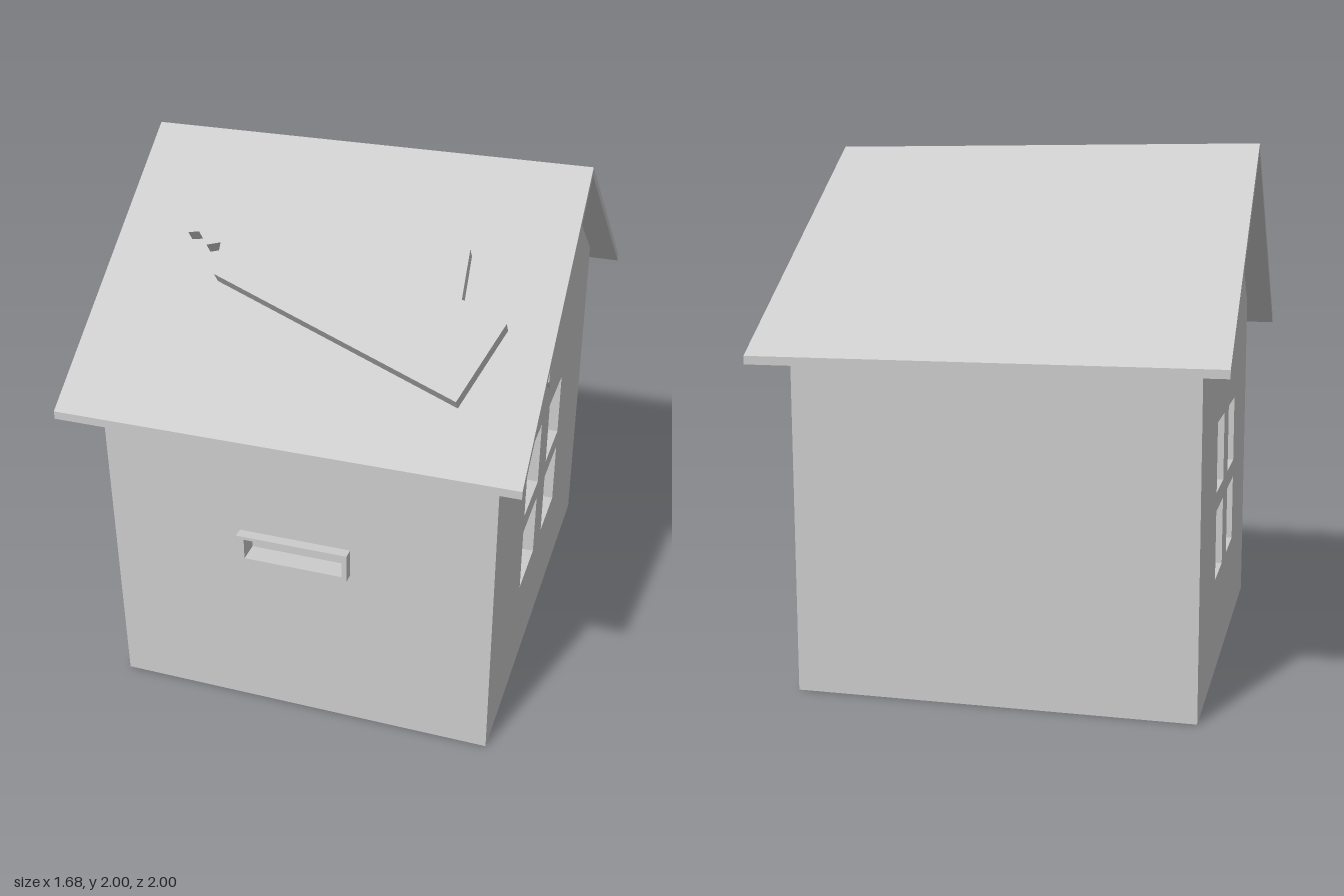
import * as THREE from 'three';

const mat = new THREE.MeshStandardMaterial({ color: 0xcccccc, flatShading: true, side: THREE.DoubleSide });

const shapeOf = (pts) => new THREE.Shape(pts.map(([a, b]) => new THREE.Vector2(a, b)));
const rect = (x0, y0, x1, y1) => [[x0, y0], [x1, y0], [x1, y1], [x0, y1]];

function withHoles(pts, holes) {
  const shape = shapeOf(pts);
  holes.forEach((h) => shape.holes.push(shapeOf(h)));
  return shape;
}

const extrude = (shape, depth) => new THREE.ExtrudeGeometry(shape, { depth, bevelEnabled: false });

// turns a (z, y) profile so that its depth runs along -x from the given x
const sideways = (geo, x) => geo.rotateY(-Math.PI / 2).translate(x, 0, 0);

function add(parent, name, geo) {
  const mesh = new THREE.Mesh(geo, mat);
  mesh.name = name;
  parent.add(mesh);
  return mesh;
}

export function createModel() {
  const house = new THREE.Group();
  house.name = 'house';
  const W = 0.735, D = 0.845, EAVE = 1.335, PEAK = 1.968;

  // four window panes, centred on the gable wall
  const panes = [];
  for (const z of [0.0725, -0.3375])
    for (const y of [0.365, 0.702]) panes.push(rect(z, y, z + 0.265, y + 0.27));

  // gable walls with recessed windows, one on each side
  const gable = [[-D, 0], [D, 0], [D, EAVE], [0, PEAK], [-D, EAVE]];
  const surround = rect(-0.38, 0.33, 0.38, 1.01);
  for (const turn of [0, Math.PI]) {
    const side = new THREE.Group();
    side.name = turn ? 'rightSide' : 'leftSide';
    side.rotation.y = turn;
    add(side, 'gableWall', sideways(new THREE.ShapeGeometry(withHoles(gable, panes)), W));
    add(side, 'windowFrame', sideways(extrude(withHoles(surround, panes), 0.051), W - 0.002));
    add(side, 'windowBacking', sideways(new THREE.ShapeGeometry(shapeOf(surround)), W - 0.053));
    house.add(side);
  }

  // front and back walls; the floor is open
  const wall = rect(-W, 0, W, EAVE);
  const slotOuter = rect(-0.22, 0.672, 0.205, 0.78);
  const slotInner = rect(-0.19, 0.686, 0.185, 0.768);
  add(house, 'frontWall', new THREE.ShapeGeometry(withHoles(wall, [slotInner])).translate(0, 0, D));
  add(house, 'backWall', new THREE.ShapeGeometry(shapeOf(wall)).rotateY(Math.PI).translate(0, 0, -D));

  // letter slot through the front wall
  add(house, 'slotFrame', extrude(withHoles(slotOuter, [slotInner]), 0.08).translate(0, 0, 0.805));
  add(house, 'slotBacking', new THREE.ShapeGeometry(shapeOf(slotOuter)).translate(0, 0, 0.806));

  // thin pitched roof
  const roof = shapeOf([[0, 2], [-1, 1.255], [-1, 1.225], [0, 1.97], [1, 1.225], [1, 1.255]]);
  add(house, 'roof', sideways(extrude(roof, 1.68), 0.84));

  // broken diamond plate on the left gable
  const diamond = shapeOf([
    [0, 1.605], [-0.275, 1.33], [0, 1.06], [0.035, 1.11], [0.1, 1.145], [0.14, 1.19],
    [0.128, 1.25], [0.165, 1.29], [0.2, 1.3], [0.275, 1.33],
  ]);
  add(house, 'gablePlate', sideways(extrude(diamond, 0.025), 0.76));

  // broken board lying on the front slope, outlined by the (x, y) of its upper face
  const pitch = Math.atan(0.745), thick = 0.05;
  const lift = thick * Math.cos(pitch);
  const board = [
    [-0.41, 1.985], [-0.55, 1.745], [-0.51, 1.75], [-0.465, 1.72], [-0.415, 1.73], [-0.4, 1.652],
    [0.57, 1.445], [0.675, 1.63], [0.615, 1.63], [0.57, 1.668], [0.505, 1.67], [0.49, 1.79],
  ].map(([x, y]) => [x, (y - 2 - lift) / Math.sin(pitch)]);
  const plank = add(house, 'roofBoard', extrude(shapeOf(board), thick));
  plank.position.y = 2;
  plank.rotation.x = pitch - Math.PI / 2;

  return house;
}
